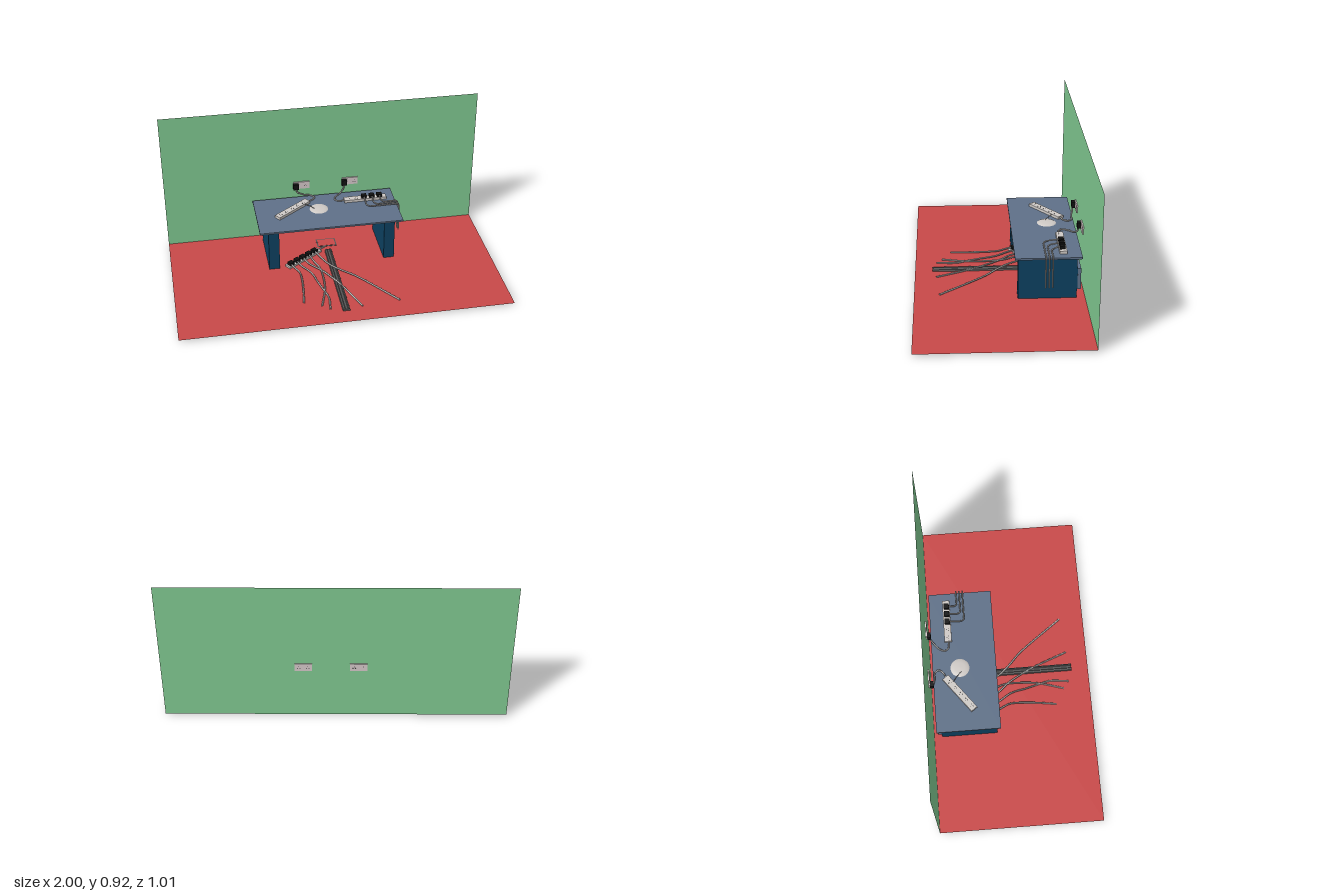
import * as THREE from 'three';

const mat = (color, extra = {}) => new THREE.MeshStandardMaterial({ color, ...extra });
const M = {
  floor: mat(0xc84848, { side: THREE.DoubleSide }),
  wall: mat(0x80c890, { side: THREE.DoubleSide }),
  top: mat(0x5f7088),
  leg: mat(0x0d4060),
  plastic: mat(0xcfcac6),
  plate: mat(0xd6c8ca),
  black: mat(0x111111),
  track: mat(0x555555),
  cord: mat(0xb0aeac, { side: THREE.DoubleSide }),
};
const FLOOR = 0.012, DESK = 0.295;

function add(parent, name, geometry, material, x = 0, y = 0, z = 0) {
  const mesh = new THREE.Mesh(geometry, material);
  mesh.name = name;
  mesh.position.set(x, y, z);
  parent.add(mesh);
  return mesh;
}

// Box given by its lower and upper limits on each axis
function box(parent, name, material, [x0, x1], [y0, y1], [z0, z1]) {
  return add(parent, name, new THREE.BoxGeometry(x1 - x0, y1 - y0, z1 - z0), material,
    (x0 + x1) / 2, (y0 + y1) / 2, (z0 + z1) / 2);
}

function cord(parent, name, points, radius = 0.005) {
  const path = new THREE.CatmullRomCurve3(points.map(p => new THREE.Vector3(...p)), false, 'centripetal');
  return add(parent, name, new THREE.TubeGeometry(path, points.length * 8, radius, 8), M.cord);
}

// Three pin slots lying on a local xz face
function pinHoles(parent, x, y, z, s = 1) {
  const g = new THREE.Group();
  g.name = 'pinHoles';
  g.position.set(x, y, z);
  parent.add(g);
  add(g, 'earthSlot', new THREE.BoxGeometry(0.003 * s, 0.001, 0.006 * s), M.black, 0, 0, -0.007 * s);
  for (const side of [-1, 1])
    add(g, 'pinSlot', new THREE.BoxGeometry(0.006 * s, 0.001, 0.003 * s), M.black, side * 0.008 * s, 0, 0.006 * s);
  return g;
}

// Five-way strip along local x, plugs filling the chosen sockets
function powerStrip(parent, name, x, y, z, angle, plugged) {
  const g = new THREE.Group();
  g.name = name;
  g.position.set(x, y, z);
  g.rotation.y = angle;
  parent.add(g);
  box(g, 'stripBody', M.plastic, [-0.135, 0.135], [0, 0.017], [-0.022, 0.022]);
  for (let i = 0; i < 5; i++) {
    const sx = -0.108 + i * 0.05;
    if (plugged.includes(i)) box(g, 'plug', M.black, [sx - 0.016, sx + 0.016], [0.016, 0.036], [-0.014, 0.018]);
    else pinHoles(g, sx, 0.0172, 0);
  }
  return g;
}

// Double wall outlet with one plug, seated through the wall
function wallOutlet(parent, x, plugX) {
  const g = new THREE.Group();
  g.name = 'wallOutlet';
  parent.add(g);
  box(g, 'outletPlate', M.plate, [x - 0.05, x + 0.05], [0.342, 0.391], [-0.505, -0.492]);
  for (const face of [-0.4918, -0.5052])
    for (const side of [-1, 1]) {
      const holes = pinHoles(g, x + side * 0.026, 0.366, face, 0.9);
      holes.rotation.x = Math.PI / 2;
    }
  box(g, 'wallPlug', M.black, [plugX - 0.017, plugX + 0.017], [0.347, 0.384], [-0.492, -0.471]);
}

export function createModel() {
  const model = new THREE.Group();
  model.name = 'deskPowerLayout';

  // Room surfaces
  add(model, 'floor', new THREE.PlaneGeometry(2, 1).rotateX(-Math.PI / 2), M.floor, 0, FLOOR, 0);
  add(model, 'wall', new THREE.PlaneGeometry(2, 0.903), M.wall, 0, FLOOR + 0.4515, -0.5);

  // Desk
  const desk = new THREE.Group();
  desk.name = 'desk';
  model.add(desk);
  box(desk, 'deskTop', M.top, [-0.45, 0.445], [0.284, DESK], [-0.474, -0.085]);
  for (const s of [-1, 1])
    box(desk, 'legPanel', M.leg, s < 0 ? [-0.397, -0.331] : [0.329, 0.395], [FLOOR, 0.284], [-0.45, -0.106]);
  box(desk, 'modestyPanel', M.leg, [-0.398, 0.393], [0.068, 0.2], [-0.453, -0.449]);
  box(desk, 'panelBacking', M.top, [-0.398, 0.395], [0.068, 0.2], [-0.473, -0.453]);

  // Grommet cover on the desk
  const dome = [[0, 0.009], [0.03, 0.008], [0.05, 0.005], [0.058, 0]].map(p => new THREE.Vector2(...p)).reverse();
  add(model, 'grommetCover', new THREE.LatheGeometry(dome, 40), M.plastic, -0.05, DESK, -0.307);
  cord(model, 'grommetLead', [[-0.15, DESK + 0.014, -0.36], [-0.115, DESK + 0.018, -0.333], [-0.075, DESK + 0.008, -0.3]], 0.002);

  // Wall outlets, desk strips and their leads
  wallOutlet(model, -0.13, -0.168);
  wallOutlet(model, 0.185, 0.145);
  powerStrip(model, 'deskStripLeft', -0.215, DESK, -0.318, 0.65, []);
  powerStrip(model, 'deskStripRight', 0.258, DESK, -0.368, 0, [2, 3, 4]);
  cord(model, 'wallLeadLeft', [[-0.168, 0.35, -0.478], [-0.16, 0.328, -0.476], [-0.12, 0.312, -0.465],
    [-0.075, 0.304, -0.462], [-0.058, 0.302, -0.438], [-0.075, 0.302, -0.412], [-0.115, 0.304, -0.392]]);
  cord(model, 'wallLeadRight', [[0.145, 0.35, -0.478], [0.138, 0.325, -0.476], [0.115, 0.306, -0.457],
    [0.08, 0.302, -0.425], [0.066, 0.302, -0.392], [0.082, 0.302, -0.37], [0.128, 0.303, -0.366]]);

  // Three appliance cords running over the desk edge
  [[0.25, -0.262], [0.3, -0.282], [0.35, -0.302]].forEach(([x, z]) =>
    cord(model, 'hangingCord', [[x, 0.322, -0.355], [x, 0.32, -0.34], [x + 0.002, 0.312, z - 0.015],
      [x + 0.017, 0.308, z], [x + 0.03, 0.307, z], [0.42, 0.307, z], [0.447, 0.305, z],
      [0.456, 0.294, z], [0.456, 0.28, z], [0.456, 0.11, z]], 0.0045));

  // Floor box, flush with the floor surface
  box(model, 'floorBox', M.track, [-0.062, 0.062], [0, 0.014], [-0.38, -0.295]);
  box(model, 'floorBoxLid', M.floor, [-0.054, 0.054], [0.0135, 0.0155], [-0.372, -0.303]);

  // Cable cover strip with two raised ribs
  const profile = new THREE.Shape([[-0.023, 0], [-0.02, 0.011], [-0.011, 0.015], [-0.007, 0.012], [0.007, 0.012],
    [0.011, 0.015], [0.02, 0.011], [0.023, 0]].reverse().map(p => new THREE.Vector2(...p)));
  add(model, 'cableCover', new THREE.ExtrudeGeometry(profile, { depth: 0.64, bevelEnabled: false }), M.track,
    -0.002, FLOOR, -0.245);

  // Floor strip with five plugged cords, paths in x and z
  powerStrip(model, 'floorStrip', -0.172, 0.008, -0.18, 0.6, [0, 1, 2, 3, 4]);
  cord(model, 'floorStripLead', [[-0.065, 0.017, -0.255], [-0.035, 0.016, -0.28], [-0.01, 0.014, -0.3]]);
  const runs = [
    [[-0.255, -0.09], [-0.222, -0.02], [-0.217, 0.03], [-0.222, 0.13], [-0.24, 0.28]],
    [[-0.205, -0.09], [-0.15, 0], [-0.125, 0.1], [-0.1, 0.19], [-0.085, 0.25], [-0.095, 0.37]],
    [[-0.15, -0.095], [-0.08, -0.01], [-0.02, 0.09], [0.02, 0.17], [0.1, 0.37]],
    [[-0.115, -0.11], [-0.09, -0.04], [-0.085, 0.06], [-0.095, 0.17], [-0.14, 0.335]],
    [[-0.05, -0.11], [-0.02, -0.06], [0.04, 0.005], [0.115, 0.075], [0.33, 0.35]],
  ];
  runs.forEach((run, i) => {
    const t = -0.108 + i * 0.05;
    const start = [-0.172 + t * Math.cos(0.6), 0.034, -0.18 - t * Math.sin(0.6)];
    const rest = run.map(([x, z]) => [x, 0.034 - 0.018 * Math.min(1, (z + 0.11) / 0.4), z]);
    cord(model, 'floorCord', [start, ...rest], 0.0055);
  });

  return model;
}
